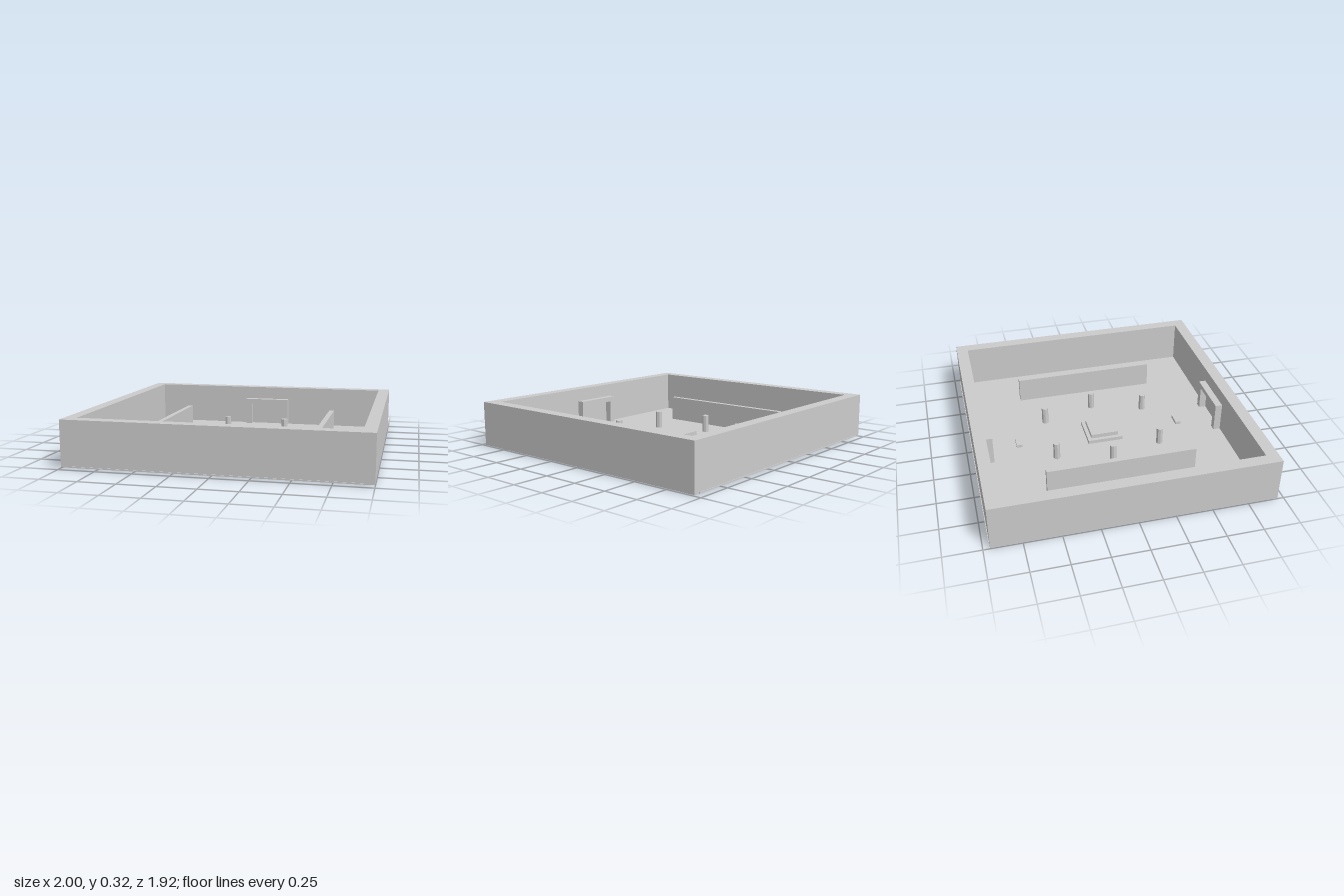
import * as THREE from 'three';

export function createModel() {
  const model = new THREE.Group();
  const material = new THREE.MeshStandardMaterial({ color: 0xcccccc, flatShading: true });
  const base = 0.006;
  const top = 0.318;

  // Box given by its limits on each axis
  function box(name, x0, x1, y0, y1, z0, z1, parent = model) {
    const mesh = new THREE.Mesh(new THREE.BoxGeometry(x1 - x0, y1 - y0, z1 - z0), material);
    mesh.position.set((x0 + x1) / 2, (y0 + y1) / 2, (z0 + z1) / 2);
    mesh.name = name;
    parent.add(mesh);
  }

  // Thin floor plate
  box('floor', -0.957, 0.957, base, 0.014, -0.96, 0.96);

  // Outer walls and long inner rails, mirrored left and right
  for (const [side, s] of [['left', 1], ['right', -1]]) {
    const span = (a, b) => [Math.min(s * a, s * b), Math.max(s * a, s * b)];
    box(side + 'Wall', ...span(0.917, 1), base, top, -0.955, 0.955);
    box(side + 'Rail', ...span(0.558, 0.595), 0, 0.197, -0.52, 0.52);
  }

  // End walls, goal frames and small floor blocks, mirrored front and back
  for (const [end, s] of [['front', 1], ['back', -1]]) {
    const span = (a, b) => [Math.min(s * a, s * b), Math.max(s * a, s * b)];
    box(end + 'Wall', -0.917, 0.917, base, top, ...span(0.87, 0.955));

    const goal = new THREE.Group();
    goal.name = end + 'Goal';
    const depth = span(0.82, 0.87);
    box('goalLeftPost', 0.13, 0.175, base, 0.185, ...depth, goal);
    box('goalRightPost', -0.175, -0.13, base, 0.185, ...depth, goal);
    box('goalCrossbar', -0.175, 0.175, 0.185, 0.222, ...depth, goal);
    model.add(goal);

    box(end + 'Block', -0.046, 0.046, base, 0.035, ...span(0.565, 0.605).map((z) => z + (s < 0 ? -0.037 : 0)));
  }

  // Stepped pedestal in the middle
  box('pedestalBase', -0.127, 0.127, base, 0.04, -0.127, 0.127);
  box('pedestalTop', -0.1, 0.1, 0.04, 0.07, -0.1, 0.1);

  // Ring of six pegs
  const pegs = [[0.34, 0], [-0.34, 0], [0.225, 0.378], [-0.228, 0.378], [0.225, -0.382], [-0.225, -0.382]];
  const pegGeometry = new THREE.CylinderGeometry(0.024, 0.024, 0.14 - base, 8);
  for (const [x, z] of pegs) {
    const peg = new THREE.Mesh(pegGeometry, material);
    peg.position.set(x, (0.14 + base) / 2, z);
    peg.name = 'peg';
    model.add(peg);
  }

  return model;
}
